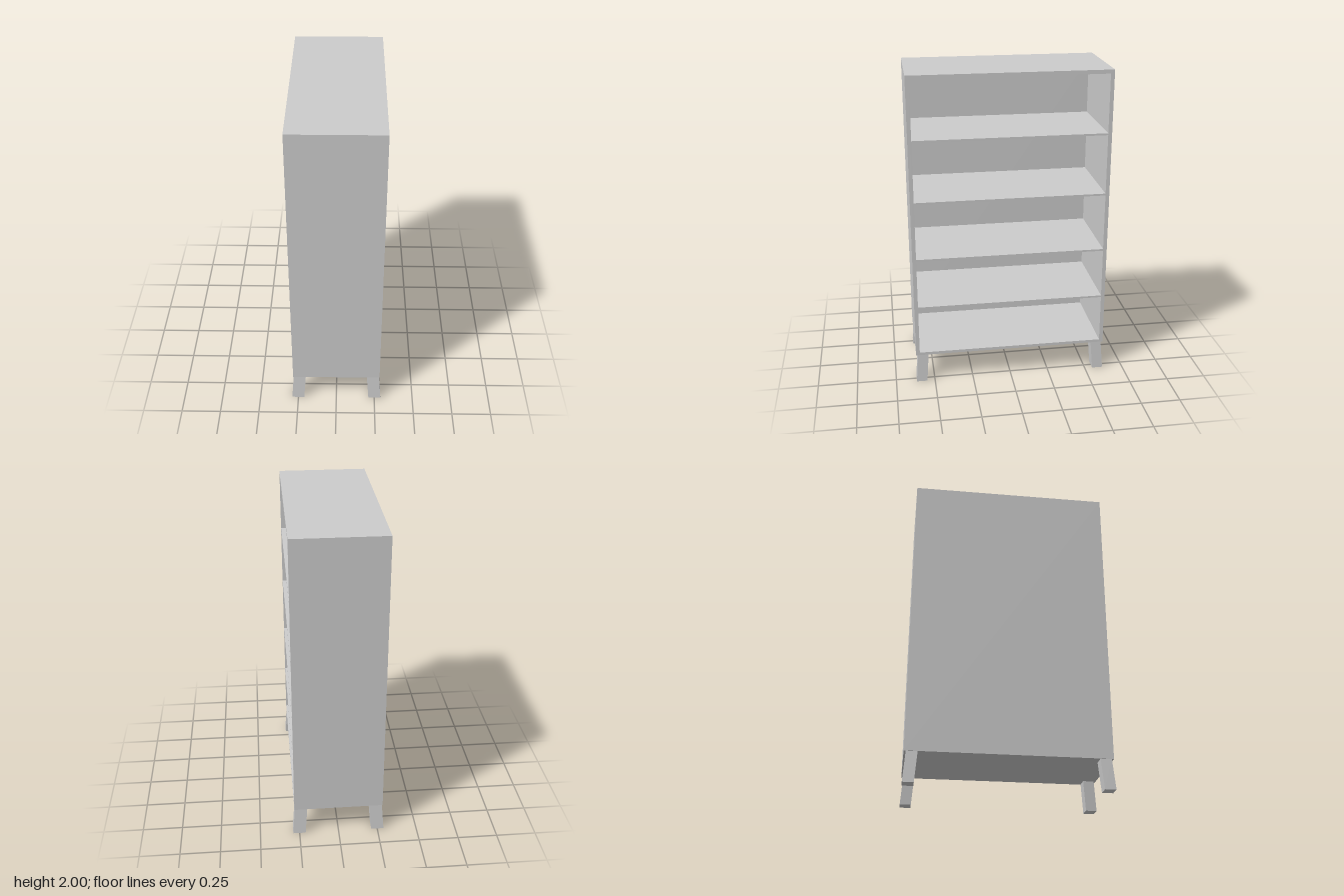
import * as THREE from 'three';

const material = new THREE.MeshStandardMaterial({ color: 0xcccccc, flatShading: true });

function add(group, name, geometry) {
  const mesh = new THREE.Mesh(geometry, material);
  mesh.name = name;
  group.add(mesh);
  return mesh;
}

// Rectangle between two corners, as an outline or a hole
function rect(target, x0, y0, x1, y1) {
  target.moveTo(x0, y0);
  target.lineTo(x1, y0);
  target.lineTo(x1, y1);
  target.lineTo(x0, y1);
  target.closePath();
  return target;
}

export function createModel() {
  const model = new THREE.Group();
  model.name = 'bookcase';

  const halfX = 0.28, halfZ = 0.616, innerZ = 0.592;
  const bottom = 0.187, top = 2, back = 0.015;

  // Case and shelves: one outline with five compartments, open towards +x
  const outline = rect(new THREE.Shape(), -halfZ, bottom, halfZ, top);
  const compartments = [[0.205, 0.516], [0.528, 0.843], [0.855, 1.216], [1.228, 1.602], [1.614, 1.976]];
  for (const [y0, y1] of compartments) {
    outline.holes.push(rect(new THREE.Path(), -innerZ, y0, innerZ, y1));
  }
  const caseGeometry = new THREE.ExtrudeGeometry(outline, { depth: 2 * halfX - back, bevelEnabled: false });
  caseGeometry.rotateY(Math.PI / 2);
  add(model, 'caseAndShelves', caseGeometry).position.x = -halfX + back;

  // Closed back panel
  const panel = add(model, 'backPanel', new THREE.BoxGeometry(back, top - bottom, 2 * halfZ));
  panel.position.set(-halfX + back / 2, (top + bottom) / 2, 0);

  // Four square legs, sheared so that the feet splay outwards
  for (const sx of [-1, 1]) {
    for (const sz of [-1, 1]) {
      const leg = new THREE.BoxGeometry(0.079, bottom, 0.068);
      leg.translate(sx * 0.237, bottom / 2, sz * 0.57);
      const p = leg.attributes.position;
      for (let i = 0; i < p.count; i++) {
        const splay = 0.014 * (1 - p.getY(i) / bottom);
        p.setX(i, p.getX(i) + sx * splay);
        p.setZ(i, p.getZ(i) + sz * splay);
      }
      leg.computeVertexNormals();
      add(model, (sz > 0 ? 'front' : 'back') + (sx > 0 ? 'Left' : 'Right') + 'Leg', leg);
    }
  }
  return model;
}
